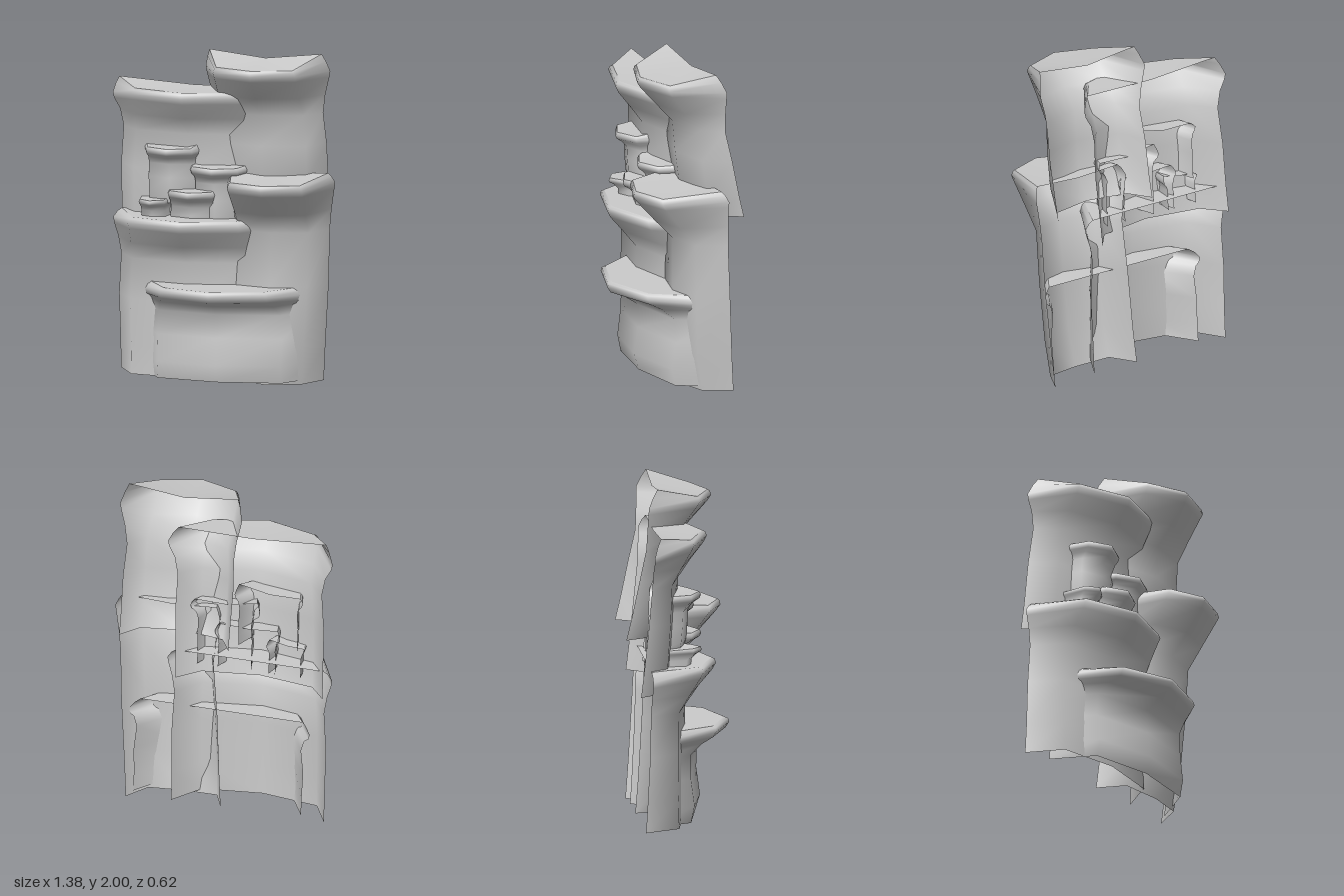
import * as THREE from 'three';

const material = new THREE.MeshStandardMaterial({ color: 0xcccccc, side: THREE.DoubleSide });
const { lerp } = THREE.MathUtils;

function makeMesh(name, points, index) {
  const geometry = new THREE.BufferGeometry();
  geometry.setAttribute('position', new THREE.Float32BufferAttribute(points.flat(), 3));
  geometry.setIndex(index);
  geometry.computeVertexNormals();
  const mesh = new THREE.Mesh(geometry, material);
  mesh.name = name;
  return mesh;
}

// One rock ledge: an open-backed wall that flares into an overhanging lip, closed by a top.
// lip, neck, foot: front z at those heights; w, wall: half width of lip and wall;
// rise, footRise: lift of the left (-x) and right (+x) back corners; sag: drop of the lip's back corners.
function rockLedge(o) {
  const { x, w, wall, top, bottom, under, lip, neck, foot, back, backFoot, topBack, rise, sag,
    shift = 0, edge = 0.66, wallEdge = 0.75, bulge = 0, footRise = [0, 0] } = o;
  const s = w / 0.5; // detail scale
  const drop = Math.min(0.035, under * 0.2);
  const neckY = top - under;
  const wallY = (t) => lerp(neckY, bottom, t);
  const backAt = (t) => lerp(back, backFoot, t);
  const up = (t, d = 0) => rise.map((r) => r * t - d);

  // front height, back lifts, front z, back z, half width, centre shift, corner set-back, corner ratio
  const rows = [
    [top, up(1), lip - 0.025 * s, topBack, w * 0.9, 0, 0.1, edge * 1.03],
    [top - drop * 0.3, up(0.5, sag * 0.4), lip - 0.006, lerp(topBack, back, 0.5), w * 0.95, 0, 0.105, edge * 1.01],
    [top - drop, up(0, sag), lip, back, w, 0, 0.11, edge],
    [top - drop * 2, up(0, sag), lerp(lip, neck, 0.1), back, lerp(w, wall, 0.15), 0, 0.11, edge],
    [top - under * 0.62, up(0), lerp(lip, neck, 0.55), back - 0.005, lerp(w, wall, 0.8), 0, 0.09, lerp(edge, wallEdge, 0.5)],
    [neckY, up(0), neck, back - 0.01, wall * 0.98, 0, 0.07, wallEdge],
    [wallY(0.35), up(0), lerp(neck, foot, 0.15), backAt(0.4), wall * 1.01, shift * 0.35, 0.07, wallEdge],
    [wallY(0.75), up(0), lerp(neck, foot, 0.4) + bulge, backAt(0.75), wall, shift * 0.75, 0.07, wallEdge],
    [bottom, footRise, foot, backFoot, wall, shift, 0.06, wallEdge]
  ];
  const points = [];
  for (const [y, lift, zf, zb, half, dx, set, ratio] of rows) {
    const cx = x + dx;
    const zc = zf - set * Math.min(1, 0.35 + 0.65 * s);
    const cornerLift = y === bottom ? 0.8 : 0;
    points.push(
      [cx - half, y + lift[0], zb],
      [cx - half * ratio, y + lift[0] * cornerLift, zc],
      [cx, y, zf],
      [cx + half * ratio, y + lift[1] * cornerLift, zc],
      [cx + half, y + lift[1], zb]
    );
  }
  const index = [];
  for (let r = 0; r < rows.length - 1; r++) {
    for (let c = 0; c < 4; c++) {
      const a = r * 5 + c;
      index.push(a, a + 5, a + 1, a + 1, a + 5, a + 6);
    }
  }

  // top surface fans out from the dipped middle of the back edge
  const cap = [[x, top + Math.min(...rise) * 0.4, topBack], ...points.slice(0, 5)];
  const capIndex = [];
  for (let i = 1; i < 5; i++) capIndex.push(0, i, i + 1);

  const group = new THREE.Group();
  group.name = o.name;
  group.add(makeMesh('rockFace', points, index), makeMesh('ledgeTop', cap, capIndex));
  return group;
}

const ledges = [
  // large ledges
  { name: 'upperRightLedge', x: 0.275, w: 0.385, wall: 0.345, top: 1.935, bottom: 1.09, under: 0.3, lip: 0.23,
    neck: 0.0, foot: -0.12, back: -0.18, backFoot: -0.31, topBack: -0.125, rise: [0.065, 0.065], sag: 0.01 },
  { name: 'upperLeftLedge', x: -0.17, w: 0.52, wall: 0.465, top: 1.77, bottom: 0.85, under: 0.27, lip: 0.16,
    neck: -0.01, foot: -0.08, back: -0.2, backFoot: -0.28, topBack: -0.16, rise: [0.035, 0.01], sag: 0.035, shift: -0.02 },
  { name: 'middleLeftLedge', x: -0.17, w: 0.52, wall: 0.483, top: 1.0, bottom: 0.03, under: 0.27, lip: 0.215,
    neck: 0.03, foot: 0.02, back: -0.21, backFoot: -0.25, topBack: -0.215, rise: [0, 0], sag: 0.02 },
  { name: 'rightLedge', x: 0.36, w: 0.33, wall: 0.3, top: 1.255, bottom: 0.0, under: 0.32, lip: 0.295, neck: 0.04,
    foot: -0.035, back: -0.18, backFoot: -0.25, topBack: -0.145, rise: [0.025, 0.025], sag: 0, shift: -0.06,
    edge: 0.7, wallEdge: 0.72, footRise: [0.03, 0.01] },
  { name: 'frontLowLedge', x: 0.04, w: 0.57, wall: 0.53, top: 0.6, bottom: 0.03, under: 0.16, lip: 0.315,
    neck: 0.12, foot: 0.11, back: -0.16, backFoot: -0.2, topBack: -0.12, rise: [0, 0], sag: 0.02,
    edge: 0.58, wallEdge: 0.72, bulge: 0.025 },
  // small steps between them
  { name: 'smallStepTop', x: -0.275, w: 0.215, wall: 0.185, top: 1.42, bottom: 1.08, under: 0.1, lip: 0.115,
    neck: 0.04, foot: 0.01, back: -0.17, backFoot: -0.19, topBack: -0.15, rise: [0.0, 0.04], sag: 0 },
  { name: 'smallStepRight', x: 0.0, w: 0.22, wall: 0.17, top: 1.31, bottom: 0.92, under: 0.1, lip: 0.1,
    neck: 0.035, foot: 0.0, back: -0.17, backFoot: -0.19, topBack: -0.15, rise: [0.04, 0.01], sag: 0 },
  { name: 'smallStepMiddle', x: -0.14, w: 0.205, wall: 0.18, top: 1.165, bottom: 0.92, under: 0.1, lip: 0.13,
    neck: 0.05, foot: 0.02, back: -0.17, backFoot: -0.19, topBack: -0.15, rise: [0.02, 0.02], sag: 0 },
  { name: 'smallStepLeft', x: -0.38, w: 0.12, wall: 0.1, top: 1.105, bottom: 0.92, under: 0.07, lip: 0.11,
    neck: 0.05, foot: 0.02, back: -0.17, backFoot: -0.19, topBack: -0.15, rise: [-0.01, 0.02], sag: 0 }
];

export function createModel() {
  const model = new THREE.Group();
  model.name = 'rockLedges';
  for (const ledge of ledges) model.add(rockLedge(ledge));
  return model;
}
